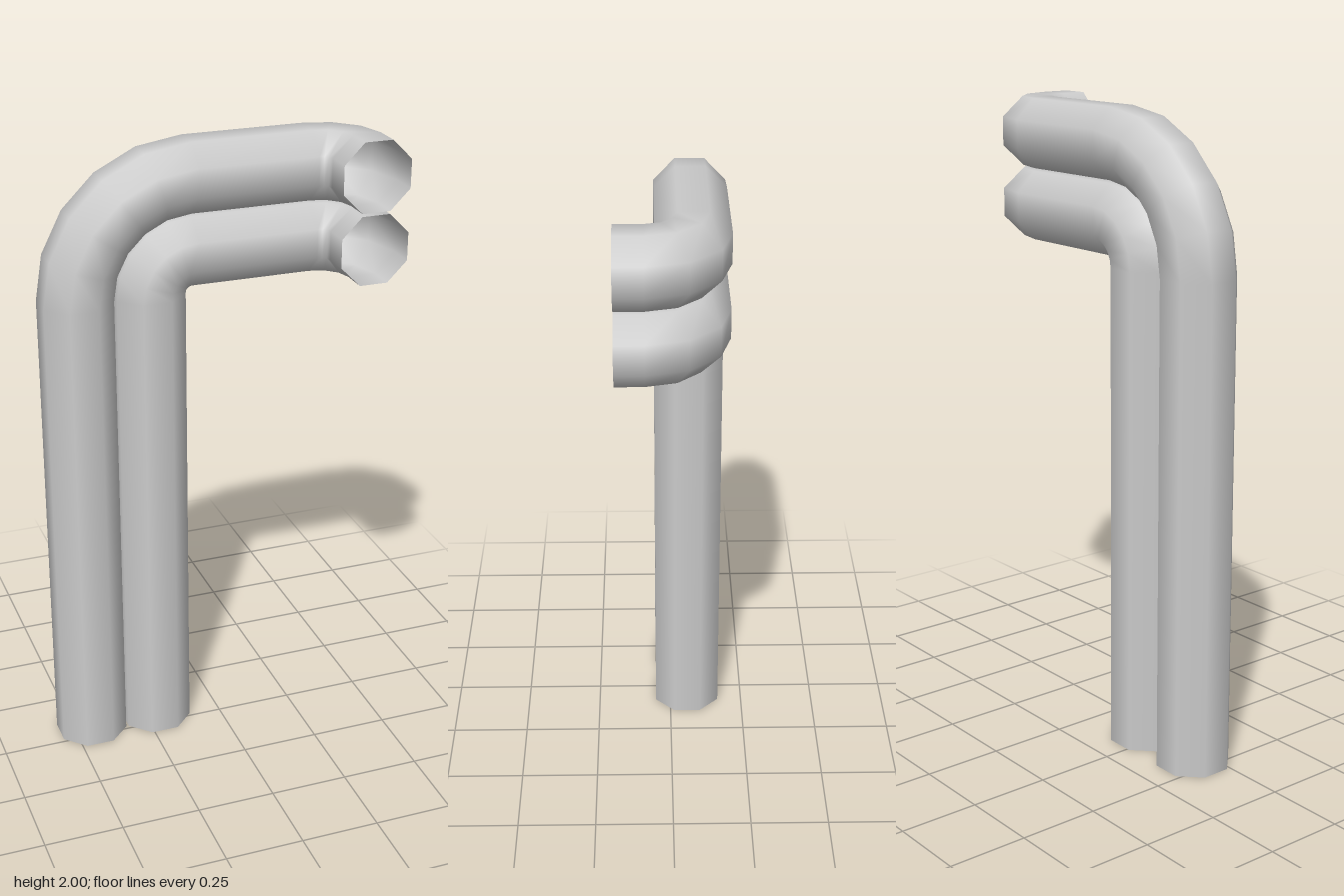
import * as THREE from 'three';

const SIDES = 8;
const HALF = 0.109;                              // half width across flats
const RADIUS = HALF / Math.cos(Math.PI / SIDES); // corner radius
const AXIS_Z = -0.058;
const BEND_X = -0.083, BEND_Y = 1.534;           // shared centre of the upper elbows
const MOUTH_X = 0.3, MOUTH_Z = 0.081, MOUTH_R = 0.139;

// Stations along the pipe: position plus two cross-section axes
function pipeStations(elbowR) {
  const stations = [];
  const add = (p, u, v) => stations.push({ p, u, v });
  const vec = (x, y, z) => new THREE.Vector3(x, y, z);

  // upright, then elbow from +y to +x
  const riser = (x, y, a) =>
    add(vec(x, y, AXIS_Z), vec(0, 0, 1), vec(Math.cos(a), -Math.sin(a), 0));
  riser(BEND_X - elbowR, 0, 0);
  for (let i = 0; i <= 5; i++) {
    const a = (i / 5) * Math.PI / 2;
    riser(BEND_X - elbowR * Math.cos(a), BEND_Y + elbowR * Math.sin(a), a);
  }

  // horizontal run, then elbow from +x to +z and a short mouth
  const y = BEND_Y + elbowR;
  const mouth = (x, z, a) =>
    add(vec(x, y, z), vec(-Math.sin(a), 0, Math.cos(a)), vec(0, -1, 0));
  for (let i = 0; i <= 3; i++) {
    const a = (i / 3) * Math.PI / 2;
    mouth(MOUTH_X + MOUTH_R * Math.sin(a), MOUTH_Z - MOUTH_R * Math.cos(a), a);
  }
  mouth(MOUTH_X + MOUTH_R, 0.167, Math.PI / 2);
  return stations;
}

// Open octagonal tube with smooth radial normals
function sweep(stations) {
  const pos = [], nor = [], idx = [];
  stations.forEach(({ p, u, v }, j) => {
    for (let i = 0; i < SIDES; i++) {
      const a = ((i + 0.5) / SIDES) * Math.PI * 2;
      const n = u.clone().multiplyScalar(Math.cos(a)).addScaledVector(v, Math.sin(a));
      nor.push(...n.toArray());
      pos.push(...p.clone().addScaledVector(n, RADIUS).toArray());
      if (j === 0) continue;
      const k = (i + 1) % SIDES, lo = (j - 1) * SIDES, hi = j * SIDES;
      idx.push(lo + i, lo + k, hi + i, lo + k, hi + k, hi + i);
    }
  });
  const g = new THREE.BufferGeometry();
  g.setAttribute('position', new THREE.Float32BufferAttribute(pos, 3));
  g.setAttribute('normal', new THREE.Float32BufferAttribute(nor, 3));
  g.setIndex(idx);
  return g;
}

export function createModel() {
  const group = new THREE.Group();
  group.name = 'twinPipes';
  const material = new THREE.MeshStandardMaterial({ color: 0xcccccc, side: THREE.DoubleSide });
  for (const [name, elbowR] of [['outerPipe', 0.357], ['innerPipe', 0.13]]) {
    const pipe = new THREE.Mesh(sweep(pipeStations(elbowR)), material);
    pipe.name = name;
    group.add(pipe);
  }
  return group;
}
